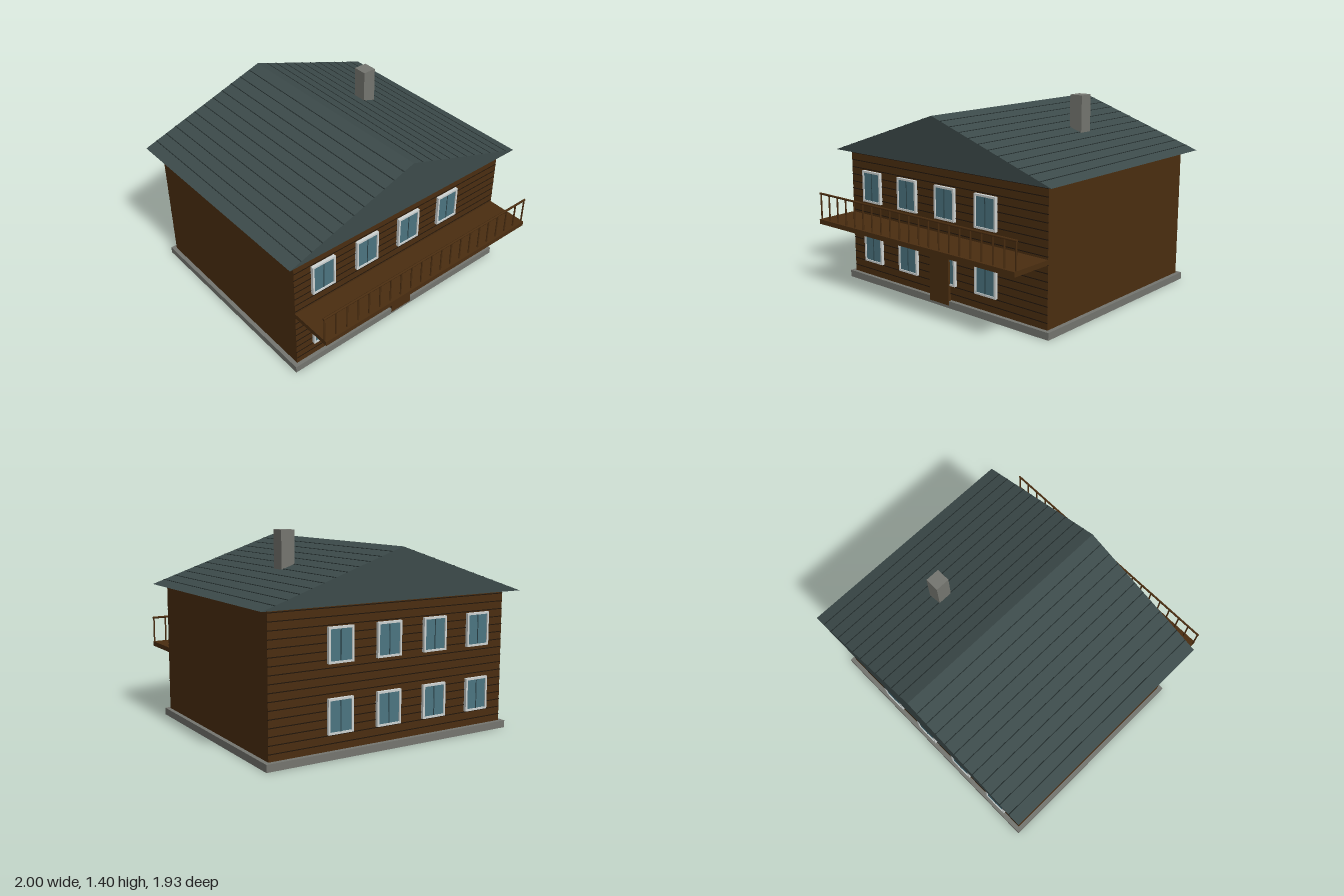
import * as THREE from 'three';

const paint = (name, color) => new THREE.MeshStandardMaterial({ name, color });

export function createModel() {
  const house = new THREE.Group();
  house.name = 'house';
  const wood = paint('brown wood', 0x4a2d10);
  const groove = paint('dark groove', 0x21150a);
  const roofing = paint('slate roof', 0x3c4a4a);
  const seam = paint('dark roof seam', 0x222c2c);
  const stone = paint('grey stone', 0x74756f);
  const trim = paint('pale trim', 0xcdd2d1);
  const glass = paint('blue glass', 0x4b7480);
  const mullionPaint = paint('dark mullion', 0x2f4950);

  // Box given by its lower and upper limits on each axis
  function box(name, mat, [x0, x1], [y0, y1], [z0, z1], parent = house) {
    const mesh = new THREE.Mesh(new THREE.BoxGeometry(x1 - x0, y1 - y0, z1 - z0), mat);
    mesh.position.set((x0 + x1) / 2, (y0 + y1) / 2, (z0 + z1) / 2);
    mesh.name = name;
    parent.add(mesh);
    return mesh;
  }

  const front = 0.65, back = -0.883;
  box('foundation', stone, [-0.95, 0.95], [0, 0.05], [-0.915, 0.678]);
  box('walls', wood, [-0.92, 0.92], [0.05, 0.98], [back, front]);

  // Plank grooves on the front and back walls
  for (let i = 0; i < 17; i++) {
    const y = 0.097 + i * 0.0535;
    box('frontGroove', groove, [-0.92, 0.92], [y - 0.003, y + 0.003], [front - 0.002, front + 0.002]);
    box('backGroove', groove, [-0.92, 0.92], [y - 0.003, y + 0.003], [back - 0.002, back + 0.002]);
  }

  // Gabled roof: a solid triangular prism
  const eave = 0.975, ridge = 1.312, roofBack = -0.968, roofFront = 0.727;
  const gable = new THREE.Shape([
    new THREE.Vector2(-1, eave), new THREE.Vector2(1, eave), new THREE.Vector2(0, ridge),
  ]);
  const roof = new THREE.Mesh(
    new THREE.ExtrudeGeometry(gable, { depth: roofFront - roofBack, bevelEnabled: false }), roofing);
  roof.position.z = roofBack;
  roof.name = 'roof';
  house.add(roof);

  // Roof seams running from gable to gable
  const slope = Math.atan(ridge - eave);
  for (const side of [-1, 1]) {
    for (let i = 1; i < 12; i++) {
      const x = side * i * 0.083;
      const y = ridge - Math.abs(x) * (ridge - eave);
      const strip = box('roofSeam', seam, [x - 0.003, x + 0.003], [y - 0.002, y + 0.002], [roofBack, roofFront]);
      strip.rotation.z = -side * slope;
    }
  }
  box('chimney', stone, [0.41, 0.51], [1.1, 1.4], [-0.325, -0.222]);

  // Window facing +z, centred on its own origin
  function makeWindow() {
    const g = new THREE.Group();
    g.name = 'window';
    const w = 0.0935, h = 0.115, b = 0.014;
    const outline = new THREE.Shape([[-w, -h], [w, -h], [w, h], [-w, h]].map(p => new THREE.Vector2(...p)));
    outline.holes.push(new THREE.Path(
      [[b - w, b - h], [b - w, h - b], [w - b, h - b], [w - b, b - h]].map(p => new THREE.Vector2(...p))));
    const frame = new THREE.Mesh(
      new THREE.ExtrudeGeometry(outline, { depth: 0.022, bevelEnabled: false }), trim);
    frame.name = 'windowFrame';
    g.add(frame);
    box('windowPane', glass, [b - w, w - b], [b - h, h - b], [0.006, 0.015], g);
    box('windowMullion', mullionPaint, [-0.003, 0.003], [b - h, h - b], [0.012, 0.018], g);
    return g;
  }
  for (const y of [0.273, 0.722]) {
    for (let i = 0; i < 4; i++) {
      const x = -0.692 + i * 0.3687;
      const frontWindow = makeWindow();
      frontWindow.position.set(x, y, front);
      const backWindow = makeWindow();
      backWindow.position.set(x, y, back);
      backWindow.rotation.y = Math.PI;
      house.add(frontWindow, backWindow);
    }
  }

  box('door', wood, [-0.09, 0.09], [0.02, 0.36], [0.66, 0.682]);

  // Balcony deck with a railing along its front edge
  const balcony = new THREE.Group();
  balcony.name = 'balcony';
  house.add(balcony);
  box('balconyDeck', wood, [-0.92, 0.92], [0.473, 0.507], [0.65, 0.965], balcony);
  const railZ = 0.945, railY = 0.692;
  const rail = new THREE.Mesh(new THREE.CylinderGeometry(0.008, 0.008, 1.85, 8), wood);
  rail.rotation.z = Math.PI / 2;
  rail.position.set(0, railY, railZ);
  rail.name = 'handrail';
  balcony.add(rail);
  const postGeometry = new THREE.CylinderGeometry(0.006, 0.006, railY - 0.505, 8);
  for (let i = 0; i <= 20; i++) {
    const post = new THREE.Mesh(postGeometry, wood);
    post.position.set(-0.917 + i * 0.0917, (railY + 0.505) / 2, railZ);
    post.name = 'railingPost';
    balcony.add(post);
  }
  return house;
}
